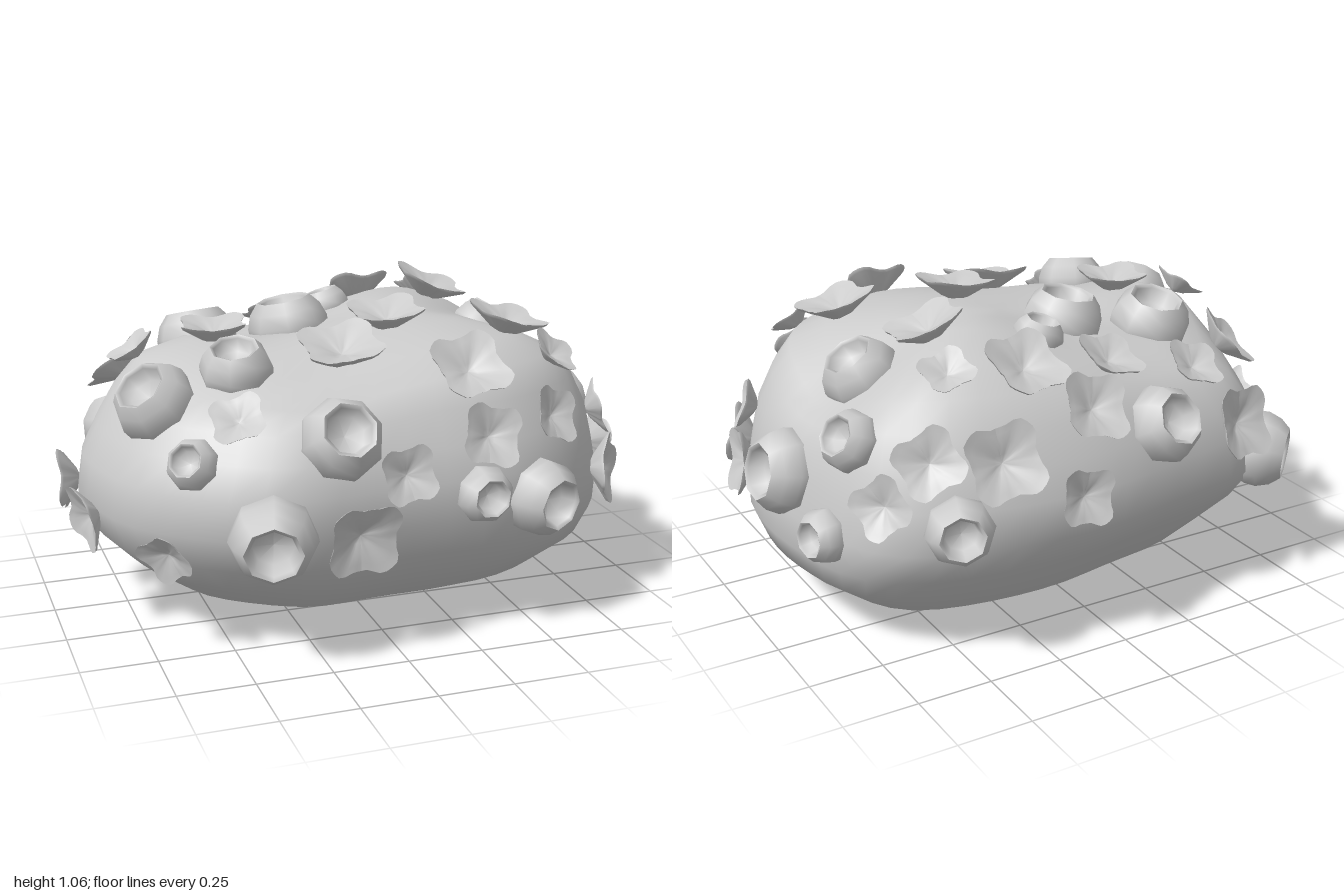
import * as THREE from 'three';

const grey = new THREE.MeshStandardMaterial({ color: 0xcccccc, side: THREE.DoubleSide });

// Crown relief: [x, z, radius, height]
const relief = [
  [-0.25, -0.2, 0.35, -0.06], [0.72, -0.1, 0.24, -0.13], [0.32, -0.28, 0.22, 0.04],
  [0.3, 0.5, 0.22, 0.015], [-0.2, 0.48, 0.2, -0.04], [-0.6, 0, 0.22, 0.09],
];

// Boulder: one closed outline lofted through levels of [y, xMin, xMax, zMin, zMax]
function makeBoulder() {
  const outline = [
    [0.92, 0.05], [0.88, 0.3], [0.73, 0.5], [0.45, 0.65], [0, 0.68], [-0.4, 0.7], [-0.62, 0.58],
    [-0.8, 0.4], [-0.88, 0.18], [-0.9, 0], [-0.77, -0.38], [-0.63, -0.58], [-0.25, -0.67],
    [0.1, -0.73], [0.5, -0.69], [0.72, -0.6], [0.84, -0.44], [0.9, -0.2],
  ].map(([x, z]) => new THREE.Vector3((x - 0.01) / 0.91, 0, (z + 0.015) / 0.715));
  const ring = new THREE.CatmullRomCurve3(outline, true).getSpacedPoints(48).slice(0, 48);
  const levels = [
    [0.008, -0.36, 0.38, -0.29, 0.14], [0.05, -0.5, 0.61, -0.4, 0.36], [0.1, -0.61, 0.74, -0.48, 0.46],
    [0.2, -0.75, 0.87, -0.57, 0.57], [0.3, -0.85, 0.91, -0.66, 0.64], [0.42, -0.9, 0.91, -0.74, 0.69],
    [0.55, -0.88, 0.88, -0.73, 0.69], [0.65, -0.83, 0.86, -0.69, 0.65], [0.75, -0.77, 0.81, -0.64, 0.6],
    [0.83, -0.68, 0.75, -0.57, 0.54], [0.89, -0.52, 0.64, -0.46, 0.41], [0.93, -0.32, 0.45, -0.3, 0.22],
    [0.945, -0.12, 0.25, -0.15, 0.08],
  ];
  const pos = [], index = [], n = ring.length;
  // The crown tilts up towards +x and carries the relief
  const put = (x, y, z) => {
    let lift = 0.045 * x;
    for (const [cx, cz, r, h] of relief) lift += h * Math.exp(-((x - cx) ** 2 + (z - cz) ** 2) / (r * r));
    pos.push(x, y + lift * THREE.MathUtils.smoothstep(y, 0.6, 0.85), z);
  };
  for (const [y, x0, x1, z0, z1] of levels) {
    for (const p of ring) put((x0 + x1) / 2 + p.x * (x1 - x0) / 2, y, (z0 + z1) / 2 + p.z * (z1 - z0) / 2);
  }
  const bottom = levels.length * n, top = bottom + 1;
  put(0, 0, -0.1);
  put(0.07, 0.95, -0.04);
  for (let i = 0; i < n; i++) {
    const j = (i + 1) % n;
    for (let k = 0; k < levels.length - 1; k++) {
      const a = k * n + i, b = k * n + j;
      index.push(a, a + n, b, b, a + n, b + n);
    }
    const last = (levels.length - 1) * n;
    index.push(bottom, i, j, top, last + j, last + i);
  }
  const geo = new THREE.BufferGeometry();
  geo.setAttribute('position', new THREE.Float32BufferAttribute(pos, 3));
  geo.setIndex(index);
  geo.computeVertexNormals();
  return new THREE.Mesh(geo, grey);
}

const profile = (pts) => pts.map(([x, y]) => new THREE.Vector2(x, y));

// Barnacle: eight-sided bulging cup with a hollow mouth, unit radius
function barnacleGeometry() {
  const outer = [[0.8, -0.55], [0.98, -0.1], [1, 0.2], [0.88, 0.54], [0.66, 0.8]];
  const inner = [[0.66, 0.8], [0.56, 0.74], [0.47, 0.38], [0, 0.3]];
  return [outer, inner].map((p) => new THREE.LatheGeometry(profile(p), 8, Math.PI / 8));
}

// Flower: thin dished disc pulled out into four square lobes, unit half-width
function flowerGeometry() {
  const under = [[0, -0.3], [0.35, -0.16], [0.95, 0.25], [1, 0.34]];
  const dish = [[1, 0.34], [0.8, 0.27], [0.5, 0.18], [0.22, 0.03], [0, -0.02]];
  return [under, dish].map((p) => {
    const geo = new THREE.LatheGeometry(profile(p), 40);
    const v = geo.attributes.position;
    for (let i = 0; i < v.count; i++) {
      const x = v.getX(i), z = v.getZ(i), r = Math.hypot(x, z), a = Math.atan2(z, x);
      const lobe = 1.02 - 0.16 * Math.cos(4 * a) + 0.025 * Math.sin(12 * a + 1);
      v.setXYZ(i, x * lobe, v.getY(i) - 0.06 * r * r * Math.cos(4 * a), z * lobe);
    }
    geo.computeVertexNormals();
    return geo;
  });
}

// Each growth is [u, v, size], seen along one axis: u, v = x,z / x,y / z,y
const sides = {
  top: {
    ray: (u, v) => [[u, 3, v], [0, -1, 0]],
    barnacles: [[-0.43, -0.21, 0.14], [-0.12, -0.14, 0.14], [0.07, -0.3, 0.085], [0.61, -0.11, 0.13],
      [-0.42, 0.28, 0.12], [-0.68, 0.26, 0.135]],
    flowers: [[0.25, -0.5, 0.12], [0.08, -0.62, 0.11], [-0.08, -0.47, 0.1], [0.48, -0.45, 0.08],
      [-0.39, -0.5, 0.09], [-0.68, -0.27, 0.11], [0.42, -0.22, 0.12], [0.14, 0.14, 0.12], [0.53, 0.23, 0.12],
      [-0.43, 0.03, 0.11], [-0.68, 0, 0.08], [-0.08, 0.32, 0.13], [-0.47, 0.51, 0.085], [0.27, 0.52, 0.12],
      [0.62, 0.38, 0.08], [0.61, -0.58, 0.1]],
  },
  front: {
    ray: (u, v) => [[u, v, 3], [0, 0, -1]],
    barnacles: [[-0.42, 0.44, 0.14], [-0.18, 0.71, 0.135], [-0.62, 0.64, 0.085], [0.28, 0.5, 0.095],
      [0.5, 0.45, 0.13]],
    flowers: [[0.01, 0.59, 0.09], [0.3, 0.67, 0.1], [0.55, 0.69, 0.09], [-0.15, 0.43, 0.12],
      [-0.69, 0.36, 0.085], [0.8, 0.45, 0.11]],
  },
  back: {
    ray: (u, v) => [[u, v, -3], [0, 0, 1]],
    barnacles: [[-0.2, 0.67, 0.13], [-0.66, 0.46, 0.13], [0.56, 0.5, 0.11]],
    flowers: [[0.17, 0.55, 0.09], [-0.5, 0.6, 0.12], [0.41, 0.68, 0.12]],
  },
  left: {
    ray: (u, v) => [[3, v, u], [-1, 0, 0]],
    barnacles: [[-0.09, 0.54, 0.14], [-0.36, 0.72, 0.1], [-0.35, 0.42, 0.09]],
    flowers: [[0.28, 0.62, 0.085], [0.18, 0.47, 0.11], [-0.54, 0.57, 0.09]],
  },
  right: {
    ray: (u, v) => [[-3, v, u], [1, 0, 0]],
    barnacles: [],
    flowers: [[-0.08, 0.44, 0.1], [0.18, 0.4, 0.1]],
  },
};

export function createModel() {
  const model = new THREE.Group();
  const boulder = makeBoulder();
  boulder.name = 'boulder';
  model.add(boulder);
  const shapes = { barnacle: barnacleGeometry(), flower: flowerGeometry() };
  const caster = new THREE.Raycaster();
  const up = new THREE.Vector3(0, 1, 0);
  let count = 0;

  // Drop a growth onto the boulder and turn it to the surface normal
  const plant = (kind, ray, [u, v, size]) => {
    const [from, dir] = ray(u, v);
    caster.set(new THREE.Vector3(...from), new THREE.Vector3(...dir));
    const hit = caster.intersectObject(boulder)[0];
    const normal = hit.normal.clone().normalize();
    const growth = new THREE.Group();
    growth.name = kind;
    for (const geo of shapes[kind]) {
      const part = new THREE.Mesh(geo, grey);
      part.name = kind + 'Shell';
      growth.add(part);
    }
    growth.quaternion.setFromUnitVectors(up, normal);
    growth.rotateY(0.2 * Math.sin(count++ * 2.4));
    growth.scale.setScalar(size);
    growth.position.copy(hit.point).addScaledVector(normal, kind === 'flower' ? 0.022 : -0.01);
    model.add(growth);
  };

  for (const { ray, barnacles, flowers } of Object.values(sides)) {
    barnacles.forEach((b) => plant('barnacle', ray, b));
    flowers.forEach((f) => plant('flower', ray, f));
  }
  return model;
}
